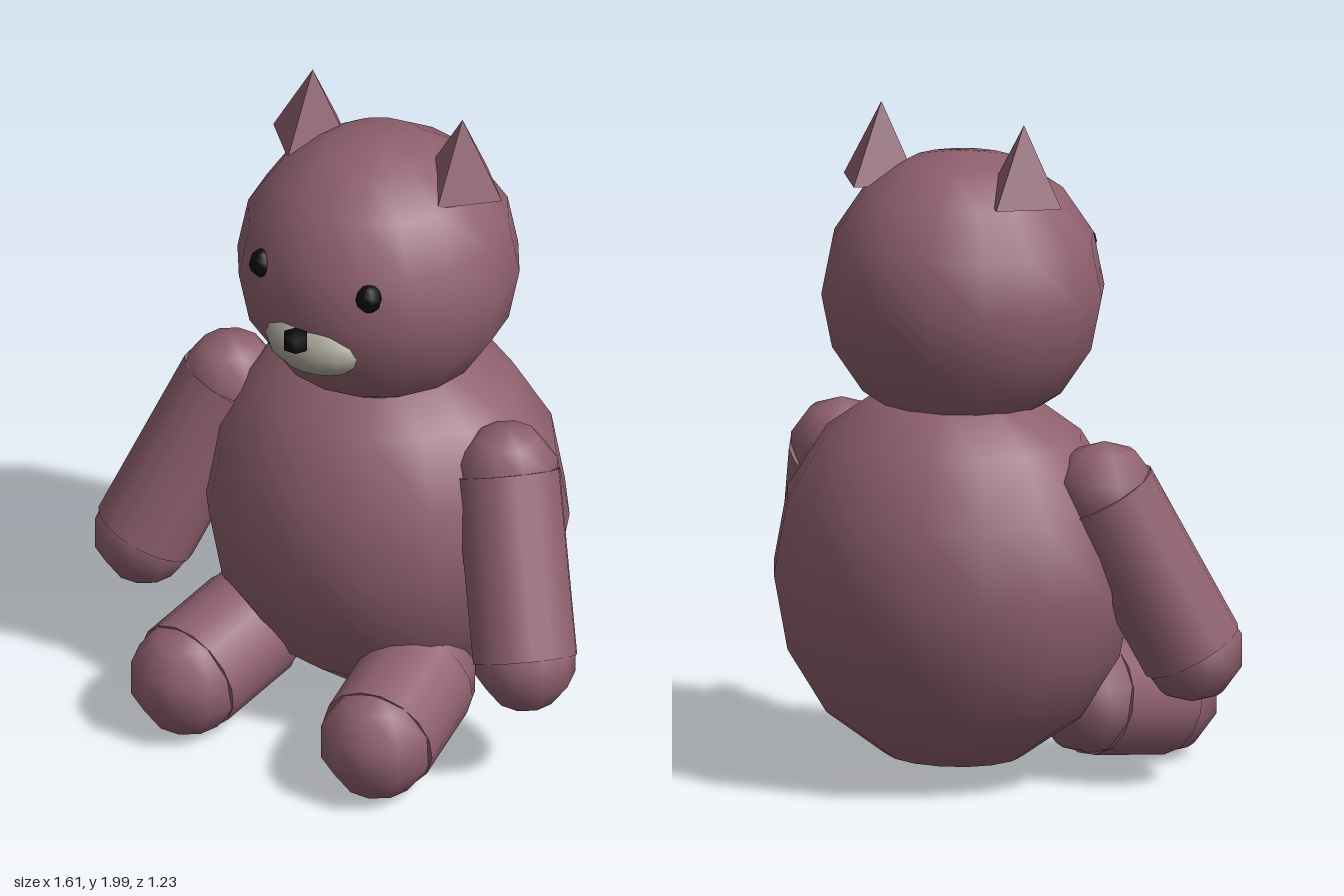
import * as THREE from 'three';

export function createModel() {
  const group = new THREE.Group();
  const mat = (name, color) => {
    const m = new THREE.MeshStandardMaterial({ color });
    m.name = name;
    return m;
  };
  const plush = mat('dusty rose plush', 0x8f606e);
  const cream = mat('muzzle grey', 0xa8a498);
  const black = mat('black', 0x0a0a0a);

  const add = (name, geometry, material, x, y, z, parent = group) => {
    const mesh = new THREE.Mesh(geometry, material);
    mesh.name = name;
    mesh.position.set(x, y, z);
    parent.add(mesh);
    return mesh;
  };
  // Faceted ellipsoid with smooth normals
  const ball = (rx, ry, rz, w, h) => new THREE.SphereGeometry(1, w, h).scale(rx, ry, rz);

  // Limb: a cylinder with a ball at each end
  const limb = (name, from, to, r) => {
    const part = new THREE.Group();
    part.name = name;
    const a = new THREE.Vector3(...from), b = new THREE.Vector3(...to);
    const dir = b.clone().sub(a);
    const mid = a.clone().add(b).multiplyScalar(0.5);
    const tube = add(name + 'Tube', new THREE.CylinderGeometry(r, r, dir.length(), 16), plush, mid.x, mid.y, mid.z, part);
    tube.quaternion.setFromUnitVectors(new THREE.Vector3(0, 1, 0), dir.normalize());
    add(name + 'Upper', ball(r, r, r, 10, 5), plush, ...from, part);
    add(name + 'End', ball(r, r, r, 10, 5), plush, ...to, part);
    group.add(part);
  };

  // Body and head
  add('body', ball(0.555, 0.59, 0.505, 16, 8), plush, 0, 0.62, -0.115);
  add('head', ball(0.42, 0.42, 0.42, 16, 8), plush, 0, 1.46, -0.07);

  // Face
  add('muzzle', ball(0.165, 0.095, 0.107, 16, 8), cream, 0, 1.355, 0.27);
  add('nose', ball(0.045, 0.045, 0.042, 6, 3), black, 0, 1.415, 0.385);

  // Four-sided ear with flat faces
  const earShape = new THREE.ConeGeometry(0.137, 0.235, 4).toNonIndexed();
  earShape.computeVertexNormals();

  for (const [side, s] of [['left', 1], ['right', -1]]) {
    add(side + 'Eye', ball(0.04, 0.044, 0.04, 8, 6), black, s * 0.185, 1.565, 0.275);
    add(side + 'Ear', earShape, plush, s * 0.26, 1.8825, -0.12);
    limb(side + 'Arm', [s * 0.48, 0.905, -0.02], [s * 0.66, 0.42, 0.168], 0.155);
    limb(side + 'Leg', [s * 0.29, 0.23, 0.17], [s * 0.33, 0.182, 0.455], 0.175);
  }
  return group;
}
